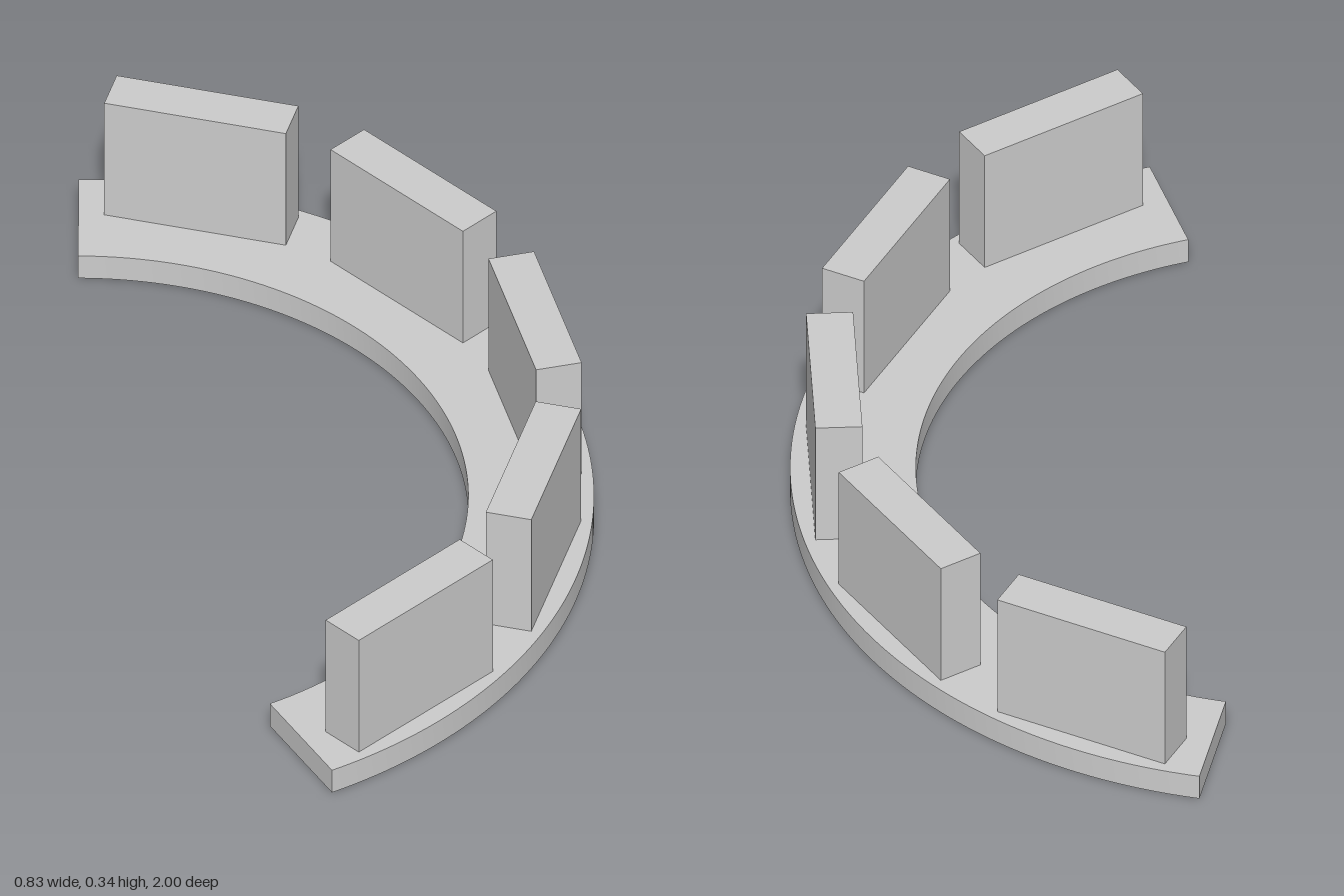
import * as THREE from 'three';
import { toCreasedNormals } from 'three/addons/utils/BufferGeometryUtils.js';

export function createModel() {
  const model = new THREE.Group();
  model.name = 'curvedBlockRow';
  const grey = new THREE.MeshStandardMaterial({ color: 0xcccccc });
  grey.name = 'light grey';

  const centreX = -0.62;
  const outerR = 1.035, innerR = 0.784;
  const baseHeight = 0.056;
  const halfArc = THREE.MathUtils.degToRad(75);

  // Curved base: ring sector spanning 150 degrees
  const sector = new THREE.Shape();
  sector.absarc(0, 0, outerR, -halfArc, halfArc, false);
  sector.absarc(0, 0, innerR, halfArc, -halfArc, true);
  sector.closePath();
  const baseGeometry = new THREE.ExtrudeGeometry(sector, {
    depth: baseHeight, bevelEnabled: false, curveSegments: 64,
  });
  baseGeometry.rotateX(-Math.PI / 2);
  const base = new THREE.Mesh(toCreasedNormals(baseGeometry, 0.4), grey);
  base.name = 'curvedBase';
  base.position.x = centreX;
  model.add(base);

  // Five upright blocks, each facing the centre of the arc
  const blockHeight = 0.281, blockR = 0.948;
  const blockGeometry = new THREE.BoxGeometry(0.094, blockHeight, 0.376);
  for (let i = -2; i <= 2; i++) {
    const angle = i * Math.PI / 6;
    const block = new THREE.Mesh(blockGeometry, grey);
    block.name = `uprightBlock${i + 3}`;
    block.position.set(
      centreX + blockR * Math.cos(angle),
      baseHeight + blockHeight / 2,
      blockR * Math.sin(angle),
    );
    block.rotation.y = -angle;
    model.add(block);
  }
  return model;
}
